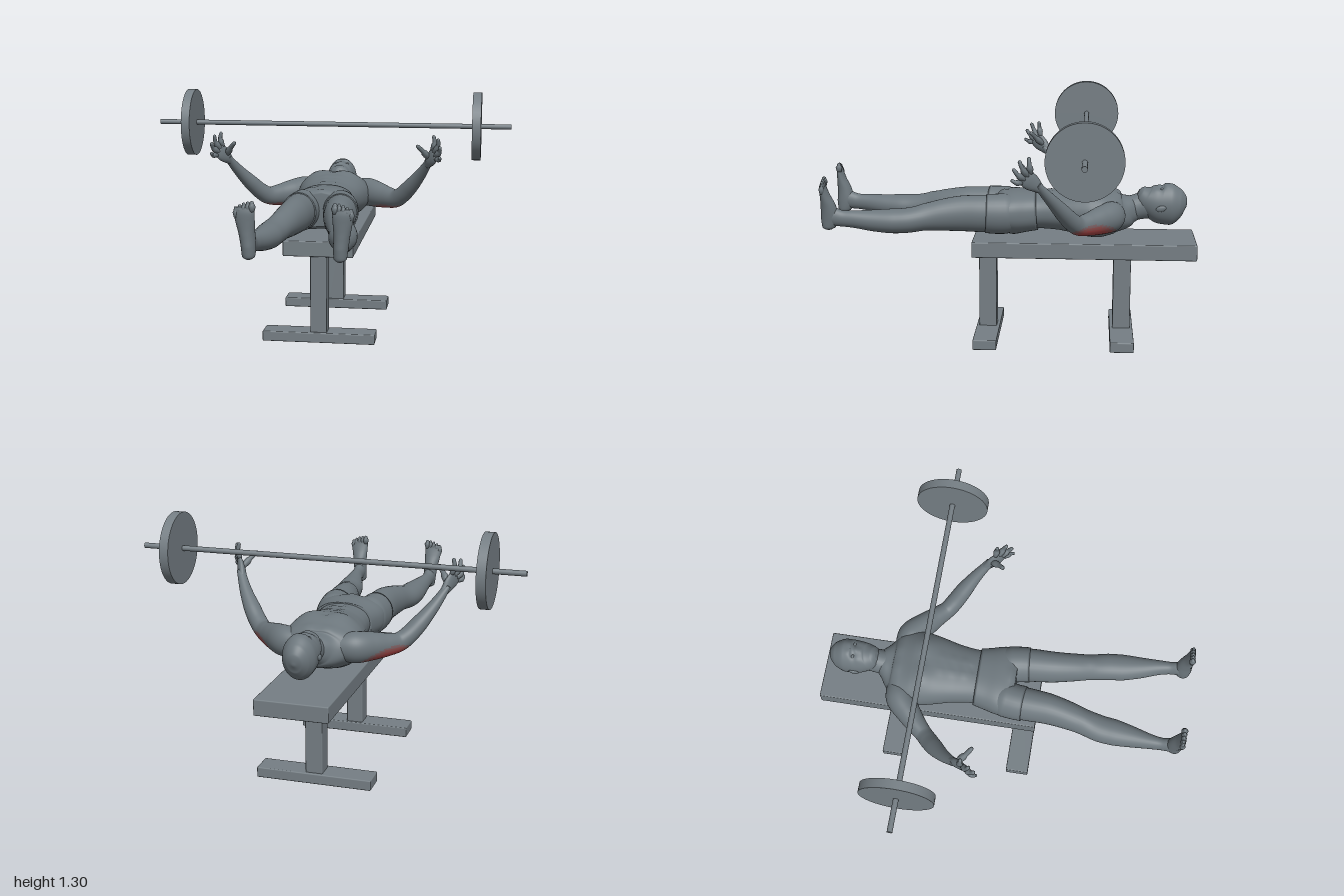
import * as THREE from 'three';
import { RoundedBoxGeometry } from 'three/addons/geometries/RoundedBoxGeometry.js';

const paint = (name, color) => Object.assign(new THREE.MeshStandardMaterial({ color }), { name });

// Smooth skin through sections [x, y, z, halfWidth, halfDepth]; 'side' is the width axis.
// bumps: [x, y, z, radius, height], mirrored in x. pick: chooses a material slot per quad.
function loft(sections, { side = [1, 0, 0], n = 24, steps = 5, power = 2, bumps = [], pick = null } = {}) {
  const path = new THREE.CatmullRomCurve3(sections.map(s => new THREE.Vector3(s[0], s[1], s[2])));
  const size = new THREE.CatmullRomCurve3(sections.map(s => new THREE.Vector3(s[3], s[4], 0)));
  const rings = (sections.length - 1) * steps;
  const sideAxis = new THREE.Vector3(...side);
  const verts = [];
  const bend = (c, e) => Math.sign(c) * Math.pow(Math.abs(c), 2 / e);
  for (let i = 0; i <= rings; i++) {
    const t = i / rings, c = path.getPoint(t), r = size.getPoint(t), T = path.getTangent(t);
    const U = sideAxis.clone().addScaledVector(T, -sideAxis.dot(T)).normalize();
    const V = T.clone().cross(U);
    for (let j = 0; j < n; j++) {
      const a = j / n * Math.PI * 2;
      const out = U.clone().multiplyScalar(bend(Math.cos(a), power) * r.x)
        .addScaledVector(V, bend(Math.sin(a), power) * r.y);
      const p = c.clone().add(out);
      let push = 0;
      for (const [bx, by, bz, br, h] of bumps) {
        const d2 = (Math.abs(p.x) - bx) ** 2 + (p.y - by) ** 2 + (p.z - bz) ** 2;
        push += h * Math.exp(-d2 / (br * br));
      }
      verts.push(p.addScaledVector(out.normalize(), push));
    }
  }
  const slots = [[], [], [], []];
  for (let i = 0; i < rings; i++) for (let j = 0; j < n; j++) {
    const a = i * n + j, b = i * n + (j + 1) % n, c = b + n, d = a + n;
    const mid = verts[a].clone().add(verts[c]).multiplyScalar(0.5);
    slots[pick ? pick(mid) : 0].push(a, b, c, a, c, d);
  }
  const last = rings * n, startTip = verts.push(path.getPoint(0)) - 1, endTip = verts.push(path.getPoint(1)) - 1;
  for (let j = 0; j < n; j++) {
    const k = (j + 1) % n;
    slots[0].push(startTip, k, j, endTip, last + j, last + k);
  }
  const g = new THREE.BufferGeometry().setFromPoints(verts);
  g.setIndex(slots.flat());
  if (pick) {
    let start = 0;
    slots.forEach((s, m) => { g.addGroup(start, s.length, m); start += s.length; });
  }
  g.computeVertexNormals();
  return g;
}

export function createModel() {
  const model = new THREE.Group();
  model.name = 'benchPress';
  const steel = paint('equipment grey', 0x757e84);
  const skin = paint('body grey', 0x6c767c);
  const red = paint('muscle red', 0xa84545);
  const midRed = paint('muscle faded red', 0x94504f);
  const blend = paint('muscle edge', 0x7e6164);

  const group = name => { const g = new THREE.Group(); g.name = name; model.add(g); return g; };
  const add = (parent, name, geo, mat, x = 0, y = 0, z = 0) => {
    const m = new THREE.Mesh(geo, mat);
    m.name = name;
    m.position.set(x, y, z);
    parent.add(m);
    return m;
  };

  // Bench
  const bench = group('bench');
  const slab = (name, w, h, d, y, z) => add(bench, name, new RoundedBoxGeometry(w, h, d, 2, 0.006), steel, 0, y, z);
  slab('benchPad', 0.376, 0.084, 1.19, 0.516, -0.393);
  for (const z of [0.126, -0.6]) {
    slab('benchPost', 0.09, 0.44, 0.095, 0.265, z);
    slab('benchFoot', 0.606, 0.055, 0.126, 0.0275, z);
  }

  // Barbell
  const barbell = group('barbell');
  const disc = (name, r, len, x) => add(barbell, name, new THREE.CylinderGeometry(r, r, len, 48).rotateZ(Math.PI / 2), steel, x, 1.112, -0.395);
  disc('bar', 0.014, 2, 0);
  for (const s of [1, -1]) disc('weightPlate', 0.188, 0.048, s * 0.81);

  // Torso with chest, stomach and spine relief
  const body = group('lyingFigure');
  const relief = [
    [0.085, 0.83, -0.43, 0.06, 0.014], [0, 0.84, -0.43, 0.02, -0.008], [0, 0.81, -0.165, 0.012, -0.01],
    [0.09, 0.58, -0.46, 0.07, 0.006], [0, 0.58, -0.4, 0.03, -0.012], [0, 0.6, -0.22, 0.03, -0.012],
    [0.05, 0.8, -0.57, 0.03, 0.006],
    ...[-0.33, -0.27, -0.21].map(z => [0.032, 0.81, z, 0.024, 0.006]),
  ];
  add(body, 'torso', loft([
    [0, 0.715, -0.675, 0.055, 0.06], [0, 0.71, -0.64, 0.093, 0.075], [0, 0.70, -0.6, 0.15, 0.092],
    [0, 0.70, -0.55, 0.195, 0.113], [0, 0.70, -0.48, 0.205, 0.13], [0, 0.703, -0.42, 0.2, 0.133],
    [0, 0.705, -0.35, 0.185, 0.123], [0, 0.705, -0.25, 0.16, 0.105], [0, 0.705, -0.15, 0.148, 0.1],
    [0, 0.70, -0.05, 0.165, 0.105]], { n: 56, steps: 8, power: 2.2, bumps: relief }), skin);

  // Shorts
  add(body, 'shortsHips', loft([
    [0, 0.703, -0.14, 0.155, 0.106], [0, 0.70, -0.08, 0.17, 0.11], [0, 0.70, -0.01, 0.188, 0.112],
    [0, 0.70, 0.04, 0.19, 0.104], [0, 0.70, 0.07, 0.15, 0.085]],
    { n: 48, power: 2.4, bumps: [[0.08, 0.59, -0.01, 0.06, 0.012], [0, 0.79, 0.05, 0.03, 0.012], [0, 0.59, 0, 0.03, -0.014]] }), skin);

  // Neck and head; nose, brow, lips and chin are raised from the face
  add(body, 'neck', loft([[0, 0.74, -0.77, 0.06, 0.08], [0, 0.73, -0.70, 0.062, 0.072],
    [0, 0.715, -0.64, 0.068, 0.068], [0, 0.705, -0.56, 0.085, 0.07]], { n: 28 }), skin);
  add(body, 'head', loft([
    [0, 0.73, -0.937, 0.006, 0.006], [0, 0.733, -0.926, 0.04, 0.05], [0, 0.737, -0.9, 0.067, 0.085],
    [0, 0.74, -0.85, 0.085, 0.112], [0, 0.743, -0.8, 0.085, 0.108], [0, 0.755, -0.76, 0.08, 0.092],
    [0, 0.772, -0.72, 0.068, 0.073], [0, 0.793, -0.69, 0.048, 0.045], [0, 0.8, -0.677, 0.018, 0.018]],
    { n: 64, steps: 9, bumps: [
      [0.034, 0.845, -0.803, 0.016, -0.009], [0.03, 0.848, -0.828, 0.02, 0.004], [0, 0.847, -0.727, 0.014, 0.005],
      [0, 0.83, -0.692, 0.022, 0.005], [0.05, 0.825, -0.77, 0.02, 0.003],
      [0, 0.85, -0.79, 0.012, 0.008], [0, 0.855, -0.765, 0.015, 0.016]] }), skin);

  const ball = new THREE.SphereGeometry(1, 18, 12);
  const handSide = new THREE.Vector3(-0.33, 0.67, -0.67);
  const knuckles = new THREE.Vector3(0.588, 0.987, -0.11);

  for (const s of [1, -1]) {
    const half = group(s > 0 ? 'leftLimbs' : 'rightLimbs');
    const limb = (name, secs, opts = {}, mat = skin) => {
      const [sx, sy, sz] = opts.side || [1, 0, 0];
      return add(half, name, loft(secs.map(([x, ...r]) => [x * s, ...r]), { ...opts, side: [sx * s, sy, sz] }), mat);
    };

    // Ear and eye
    const ear = add(half, 'ear', ball, skin, s * 0.085, 0.732, -0.798);
    ear.scale.set(0.009, 0.016, 0.028);
    ear.rotation.x = 0.25;
    add(half, 'eye', ball, skin, s * 0.033, 0.828, -0.803).scale.set(0.012, 0.008, 0.008);

    // Leg
    limb('shortsLeg', [[0.095, 0.70, -0.03, 0.08, 0.09], [0.1, 0.698, 0.03, 0.096, 0.108], [0.108, 0.698, 0.08, 0.094, 0.107],
      [0.112, 0.7, 0.13, 0.093, 0.104]], { n: 32 });
    limb('leg', [[0.11, 0.70, 0.1, 0.088, 0.1], [0.114, 0.70, 0.17, 0.086, 0.099], [0.12, 0.70, 0.26, 0.081, 0.095],
      [0.14, 0.692, 0.38, 0.073, 0.082], [0.16, 0.68, 0.47, 0.069, 0.067], [0.178, 0.671, 0.55, 0.072, 0.066],
      [0.186, 0.669, 0.62, 0.071, 0.065], [0.198, 0.673, 0.72, 0.057, 0.057], [0.212, 0.682, 0.82, 0.039, 0.046],
      [0.217, 0.686, 0.88, 0.032, 0.043], [0.218, 0.695, 0.93, 0.034, 0.05], [0.218, 0.70, 0.965, 0.025, 0.04]],
      { n: 32, bumps: [[0.16, 0.745, 0.46, 0.035, 0.007]] });

    // Foot and toes
    limb('foot', [[0.216, 0.625, 0.955, 0.01, 0.015], [0.216, 0.638, 0.955, 0.03, 0.034], [0.218, 0.69, 0.947, 0.036, 0.047],
      [0.223, 0.75, 0.953, 0.039, 0.04], [0.228, 0.81, 0.968, 0.046, 0.025], [0.231, 0.85, 0.976, 0.05, 0.017],
      [0.231, 0.878, 0.977, 0.046, 0.01]], { n: 24 });
    for (let i = 0; i < 5; i++) {
      const x = 0.194 + i * 0.019, top = 0.906 - i * i * 0.0018, r = i ? 0.0095 : 0.012;
      limb('toe', [[x, top - 0.05, 0.976, r, r], [x, top - 0.015, 0.976, r, r], [x, top - 0.004, 0.976, r * 0.75, r * 0.75],
        [x, top, 0.976, r * 0.2, r * 0.2]], { n: 10, steps: 3 });
    }

    // Arm with the coloured muscle along the underside of the upper arm, fading at its rim
    const pick = p => {
      const dx = Math.abs(p.x) - 0.323, dy = p.y - 0.645, dz = p.z + 0.437;
      const along = dx * 0.73 + dz * 0.68;
      const cross2 = dx * dx + dy * dy + dz * dz - along * along;
      const e = (along / 0.165) ** 2 + cross2 / 0.0042;
      return e < 0.42 ? 1 : e < 0.72 ? 2 : e < 1 ? 3 : 0;
    };
    limb('arm', [[0.09, 0.71, -0.565, 0.045, 0.055], [0.185, 0.707, -0.53, 0.073, 0.08], [0.25, 0.702, -0.475, 0.066, 0.073],
      [0.31, 0.697, -0.42, 0.054, 0.061], [0.365, 0.7, -0.365, 0.046, 0.05], [0.405, 0.73, -0.33, 0.047, 0.046],
      [0.45, 0.782, -0.29, 0.045, 0.042], [0.505, 0.855, -0.235, 0.034, 0.031], [0.548, 0.925, -0.18, 0.025, 0.021],
      [0.56, 0.95, -0.16, 0.025, 0.017]],
      { side: [0.66, 0, -0.75], n: 48, steps: 10, pick }, [skin, red, midRed, blend]);

    // Open hand
    const side = handSide.toArray();
    limb('palm', [[0.545, 0.92, -0.185, 0.02, 0.018], [0.555, 0.937, -0.165, 0.029, 0.02], [0.567, 0.957, -0.143, 0.04, 0.02],
      [0.58, 0.975, -0.122, 0.044, 0.017], [0.593, 0.995, -0.103, 0.041, 0.011]], { side, n: 20 });
    const digit = (name, base, tip, r, lift) => {
      const mid = base.clone().lerp(tip, 0.55).add(new THREE.Vector3(0.01, -0.004, 0.002).multiplyScalar(lift));
      const end = mid.clone().lerp(tip, 0.85);
      limb(name, [[...base, r, r], [...mid, r, r], [...end, r * 0.8, r * 0.8], [...tip, r * 0.2, r * 0.2]],
        { side, n: 12, steps: 4 });
    };
    const tips = [[0.583, 1.092, -0.122], [0.612, 1.08, -0.075], [0.622, 1.04, -0.046], [0.62, 0.985, -0.036]];
    tips.forEach((t, i) => digit('finger', knuckles.clone().addScaledVector(handSide, 0.033 - i * 0.022),
      new THREE.Vector3(...t), i === 3 ? 0.01 : 0.0115, 1));
    digit('thumb', new THREE.Vector3(0.56, 0.962, -0.15), new THREE.Vector3(0.496, 1.042, -0.075), 0.013, 0.5);
  }
  return model;
}
